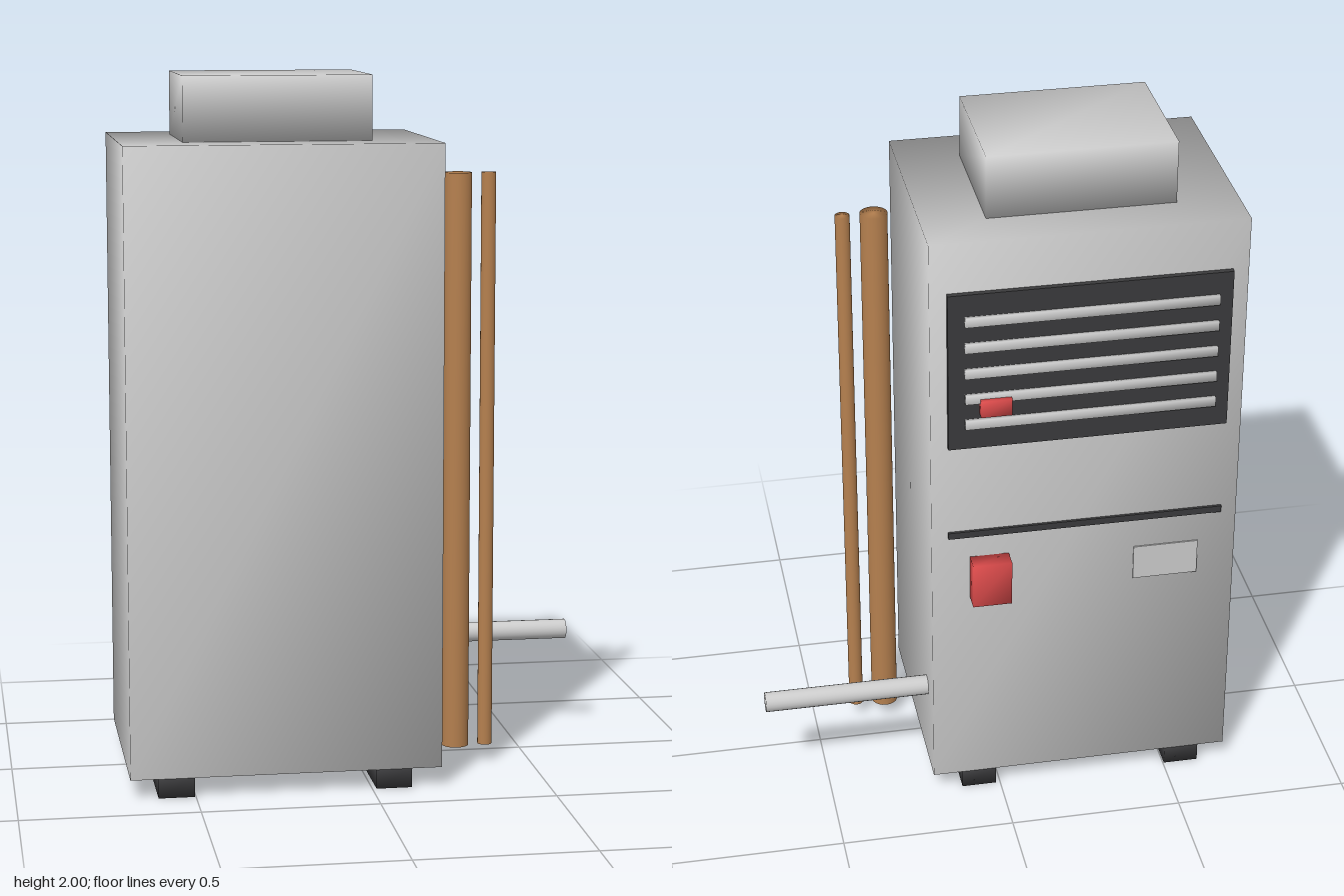
import * as THREE from 'three';
import { mergeVertices } from 'three/addons/utils/BufferGeometryUtils.js';

const material = (color) => new THREE.MeshStandardMaterial({ color });
const grey = material(0xcccccc);
const dark = material(0x3a3a3c);
const red = material(0xd84a4a);
const wood = material(0xb5804f);

// Weld shared corners so shading runs smoothly over the edges
function weld(geometry) {
  geometry.deleteAttribute('normal');
  geometry.deleteAttribute('uv');
  const welded = mergeVertices(geometry, 1e-4);
  welded.computeVertexNormals();
  return welded;
}

export function createModel() {
  const model = new THREE.Group();
  model.name = 'cabinet';

  const add = (name, geometry, mat, x, y, z) => {
    const mesh = new THREE.Mesh(geometry, mat);
    mesh.name = name;
    mesh.position.set(x, y, z);
    model.add(mesh);
    return mesh;
  };
  // Box given by its limits on each axis
  const box = (name, mat, [x0, x1], [y0, y1], [z0, z1], smooth = false) => {
    const g = new THREE.BoxGeometry(x1 - x0, y1 - y0, z1 - z0);
    return add(name, smooth ? weld(g) : g, mat, (x0 + x1) / 2, (y0 + y1) / 2, (z0 + z1) / 2);
  };
  const rod = (name, mat, radius, length, x, y, z) =>
    add(name, weld(new THREE.CylinderGeometry(radius, radius, length, 20)), mat, x, y, z);

  // Main housing and top cap
  box('body', grey, [-0.683, 0.2], [0.055, 1.818], [-0.304, 0.355], true);
  box('topCap', grey, [-0.508, 0.02], [1.818, 2], [-0.173, 0.222], true);

  // Two skids running front to back
  for (const x of [-0.605, 0.012]) {
    box('skid', dark, [x, x + 0.102], [0, 0.055], [-0.304, 0.355], true);
  }

  // Upright wooden poles and the side pipe
  rod('thickPole', wood, 0.039, 1.67, 0.284, 0.885, 0.11);
  rod('thinPole', wood, 0.021, 1.67, 0.372, 0.885, 0.11);
  rod('sidePipe', grey, 0.029, 0.5, 0.43, 0.31, -0.196).rotation.z = Math.PI / 2;

  // Louvred vent on the back
  box('ventPanel', dark, [-0.638, 0.152], [1.19, 1.67], [-0.32, -0.303]);
  for (let i = 0; i < 5; i++) {
    const y = 1.59 - i * 0.08;
    box('ventSlat', grey, [-0.6, 0.106], [y - 0.014, y + 0.014], [-0.332, -0.318], true);
  }
  box('ventTab', red, [-0.022, 0.065], [1.3, 1.35], [-0.347, -0.318], true);

  // Lower back: seam, switch box and blank plate
  box('seam', dark, [-0.638, 0.152], [0.89, 0.91], [-0.312, -0.303]);
  box('switchBox', red, [-0.022, 0.09], [0.682, 0.82], [-0.357, -0.303], true);
  box('plate', grey, [-0.574, -0.386], [0.69, 0.797], [-0.308, -0.303]);

  return model;
}
